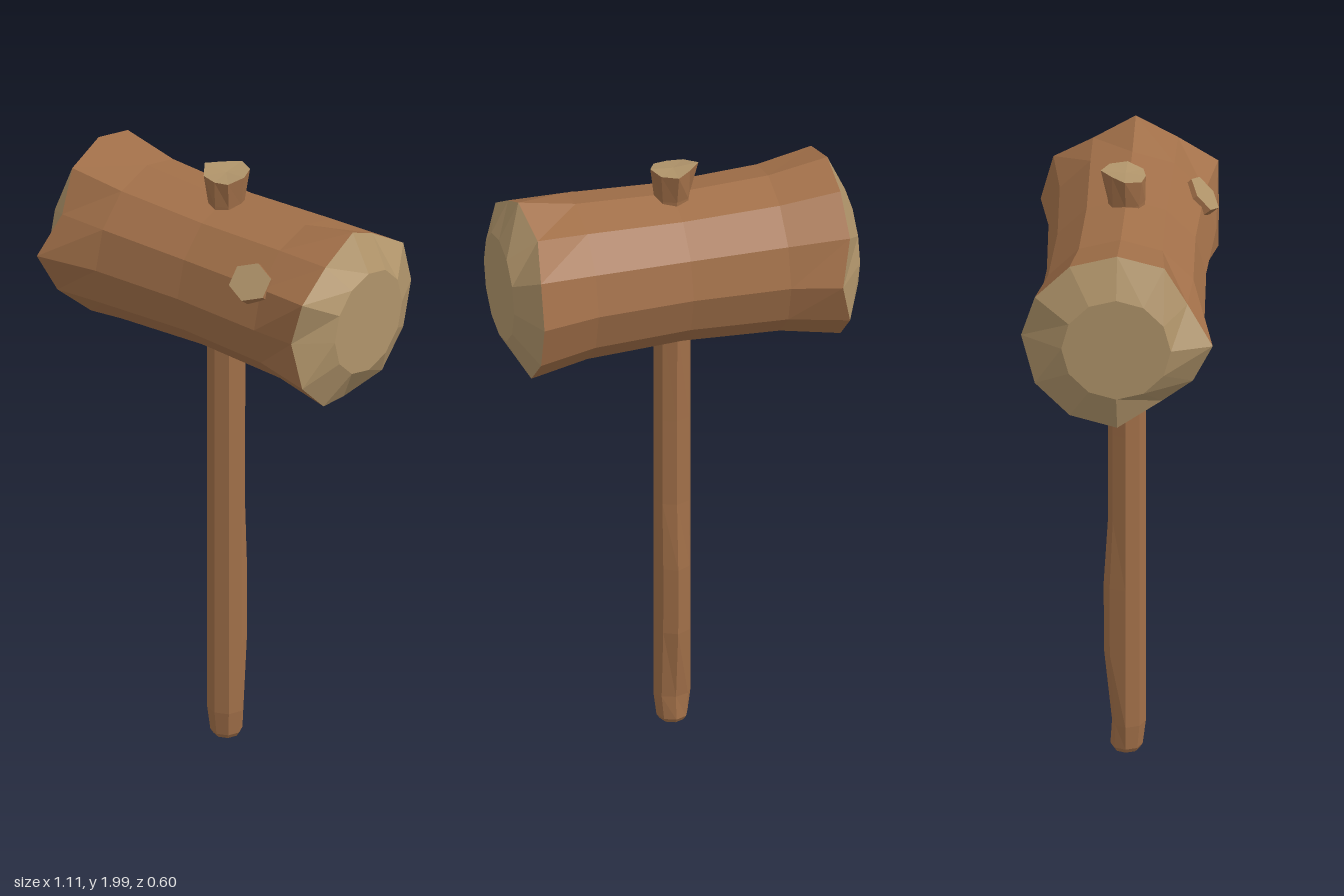
import * as THREE from 'three';

const wood = new THREE.MeshStandardMaterial({ color: 0xa27049, flatShading: true });
wood.name = 'brown wood';
const cutWood = new THREE.MeshStandardMaterial({ color: 0xb0946a, flatShading: true });
cutWood.name = 'pale cut wood';

// Skin between cross-section rings, optionally closing the first or last ring
function loft(rings, { start = false, end = false, sides = true } = {}) {
  const pos = [];
  const tri = (...pts) => pts.forEach((p) => pos.push(p.x, p.y, p.z));
  const n = rings[0].length;
  const cap = (ring, flip) => {
    const c = ring.reduce((s, p) => s.add(p), new THREE.Vector3()).divideScalar(n);
    ring.forEach((p, j) => (flip ? tri(c, ring[(j + 1) % n], p) : tri(c, p, ring[(j + 1) % n])));
  };
  for (let i = 0; sides && i < rings.length - 1; i++) {
    for (let j = 0; j < n; j++) {
      const k = (j + 1) % n;
      tri(rings[i][j], rings[i][k], rings[i + 1][j]);
      tri(rings[i][k], rings[i + 1][k], rings[i + 1][j]);
    }
  }
  if (start) cap(rings[0], true);
  if (end) cap(rings[rings.length - 1], false);
  const g = new THREE.BufferGeometry();
  g.setAttribute('position', new THREE.Float32BufferAttribute(pos, 3));
  g.computeVertexNormals();
  return g;
}

function part(name, geometry, material) {
  const m = new THREE.Mesh(geometry, material);
  m.name = name;
  return m;
}

// Twelve-sided head ring; chips override [x, radius] of single corners
function headRing(x, r, chips = {}) {
  return Array.from({ length: 12 }, (_, j) => {
    const [px, pr] = chips[j] || [x, r];
    const a = (j * Math.PI) / 6;
    return new THREE.Vector3(px, 1.645 + pr * Math.cos(a), pr * Math.sin(a));
  });
}

// Eight-sided upright ring; back is the depth of the rear corner
function shaftRing(y, r, back = r) {
  return Array.from({ length: 8 }, (_, j) => {
    const a = (j * Math.PI) / 4;
    const z = Math.cos(a);
    return new THREE.Vector3(r * Math.sin(a), y, z * (z < 0 ? back : r));
  });
}

function createHead() {
  const g = new THREE.Group();
  g.name = 'head';
  const right = headRing(-0.5, 0.295, {
    1: [-0.49, 0.292], 2: [-0.475, 0.25], 3: [-0.512, 0.297], 4: [-0.48, 0.27], 5: [-0.425, 0.27], 9: [-0.465, 0.3],
  });
  const left = headRing(0.495, 0.295, {
    1: [0.49, 0.262], 3: [0.455, 0.26], 6: [0.46, 0.295], 11: [0.47, 0.262],
  });
  g.add(part('barrel', loft([right, headRing(-0.31, 0.26), headRing(0, 0.247), headRing(0.31, 0.26), left]), wood));
  g.add(part('rightStrikingFace', loft([headRing(-0.557, 0.17), right], { start: true }), cutWood));
  g.add(part('leftStrikingFace', loft([left, headRing(0.557, 0.17)], { end: true }), cutWood));
  return g;
}

function createHandle() {
  const g = new THREE.Group();
  g.name = 'handle';
  const rings = [
    [0.005, 0.04], [0.02, 0.05], [0.1, 0.06, 0.045], [0.34, 0.06, 0.07],
    [0.57, 0.06, 0.071], [0.8, 0.06, 0.057], [1.1, 0.06, 0.057], [1.45, 0.06],
  ].map((v) => shaftRing(...v));
  g.add(part('shaft', loft(rings), wood));
  g.add(part('shaftEnd', loft([rings[0]], { start: true }), cutWood));

  // Flared end of the handle poking out above the head
  const top = [
    [0, 0.06], [0.045, 0.05], [0.07, 0], [0.05, -0.055],
    [0, -0.08], [-0.045, -0.043], [-0.085, 0], [-0.05, 0.05],
  ].map(([x, z]) => new THREE.Vector3(x, 1.99 - Math.max(0, z) * 0.25, z));
  g.add(part('flaredTop', loft([shaftRing(1.84, 0.055), shaftRing(1.89, 0.058), top]), wood));
  g.add(part('flaredTopEnd', loft([top], { end: true }), cutWood));
  return g;
}

// Small six-sided peg leaning out of the front of the head
function createPeg() {
  const geo = new THREE.CylinderGeometry(0.064, 0.06, 0.12, 6);
  geo.translate(0, -0.06, 0);
  geo.scale(1.2, 1, 1);
  const peg = part('peg', geo, [wood, cutWood, wood]);
  peg.rotation.x = 0.85;
  peg.position.set(0.269, 1.788, 0.228);
  return peg;
}

export function createModel() {
  const model = new THREE.Group();
  model.name = 'mallet';
  model.add(createHead(), createHandle(), createPeg());
  return model;
}
